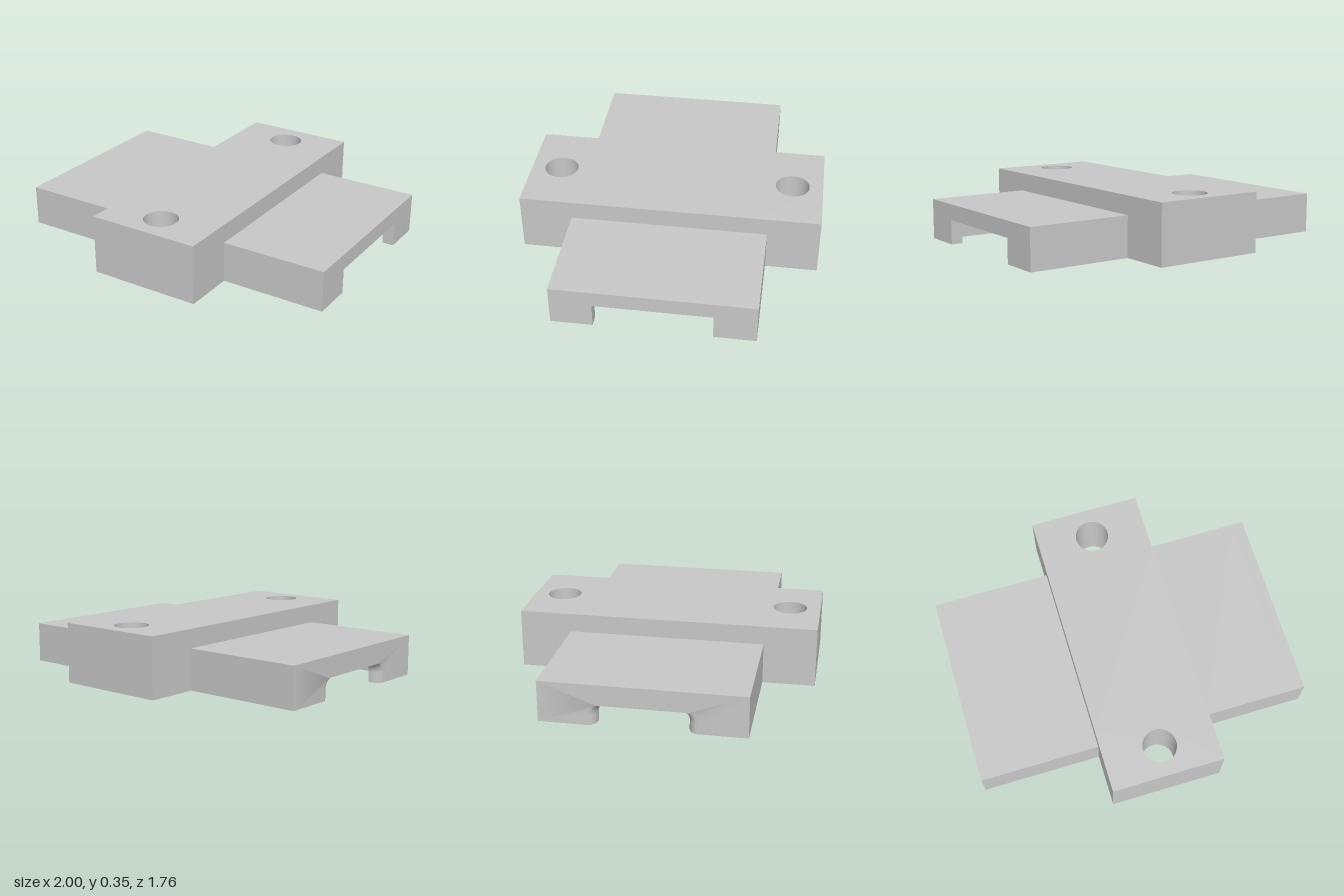
import * as THREE from 'three';
import { toCreasedNormals } from 'three/addons/utils/BufferGeometryUtils.js';

// Main dimensions
const X0 = -0.29, X1 = 0.38;             // raised bridge, left and right limits
const WING_Z = 0.575, WING_TOP = 0.24;   // wing half width and height
const CAV_X = 0.93, CAV_Z = 0.515, CAV_Y = 0.17; // underside recess
const LUG_Z = 0.88, TOP = 0.35;
const HOLE_Z = 0.7, HOLE_R = 0.1;
const FLARE = 0.05;                      // rounding of the right opening's outer edges

// Arch-shaped cross-section in the z-y plane: a block with an opening from below
function archProfile(halfOpening, height, r) {
  const s = new THREE.Shape();
  s.moveTo(-WING_Z, 0);
  s.lineTo(-halfOpening, 0);
  s.lineTo(-halfOpening, height - r);
  if (r) s.absarc(-halfOpening + r, height - r, r, Math.PI, Math.PI / 2, true);
  s.lineTo(halfOpening - r, height);
  if (r) s.absarc(halfOpening - r, height - r, r, Math.PI / 2, 0, true);
  s.lineTo(halfOpening, 0);
  s.lineTo(WING_Z, 0);
  s.lineTo(WING_Z, WING_TOP);
  s.lineTo(-WING_Z, WING_TOP);
  s.closePath();
  return s;
}

function extrude(shape, depth, steps = 1) {
  return new THREE.ExtrudeGeometry(shape, { depth, steps, bevelEnabled: false, curveSegments: 24 });
}

// Extrude a z-y profile along x between two positions
function alongX(shape, xa, xb, steps) {
  return extrude(shape, xb - xa, steps).rotateY(Math.PI / 2).translate(xa, 0, 0);
}

// End wall whose opening widens towards the outside in a rounded sweep
function flaredWall() {
  const g = alongX(archProfile(0.25, 0.12, 0.06), -1, -CAV_X, 8);
  const p = g.attributes.position;
  for (let i = 0; i < p.count; i++) {
    const a = (-CAV_X - p.getX(i)) / (1 - CAV_X) * Math.PI / 2;
    const z = p.getZ(i);
    p.setX(i, -CAV_X - (1 - CAV_X) * Math.sin(a));
    if (Math.abs(z) < 0.26) p.setZ(i, z + Math.sign(z) * FLARE * (1 - Math.cos(a)));
  }
  return g;
}

export function createModel() {
  const model = new THREE.Group();
  model.name = 'mountingCover';
  const grey = new THREE.MeshStandardMaterial({ color: 0xc8c8c8 });
  grey.name = 'lightGrey';

  const add = (name, geometry) => {
    const mesh = new THREE.Mesh(toCreasedNormals(geometry, Math.PI / 6), grey);
    mesh.name = name;
    model.add(mesh);
  };

  // Wings: hollow channel sections on both sides of the bridge
  const channel = archProfile(CAV_Z, CAV_Y, 0);
  add('leftWing', alongX(channel, X1, CAV_X));
  add('rightWing', alongX(channel, -CAV_X, X0));

  // End walls: square opening on the left, rounded opening on the right
  add('leftEndWall', alongX(archProfile(0.335, 0.145, 0), CAV_X, 1));
  add('rightEndWall', flaredWall());

  // Raised bridge over the recess
  const bridge = new THREE.BoxGeometry(X1 - X0, TOP - CAV_Y, CAV_Z * 2);
  bridge.translate((X0 + X1) / 2, (TOP + CAV_Y) / 2, 0);
  add('bridge', bridge);

  // Full-height lugs with through holes, front and back
  for (const side of [1, -1]) {
    const za = side > 0 ? -LUG_Z : CAV_Z, zb = side > 0 ? -CAV_Z : LUG_Z;
    const lug = new THREE.Shape([
      new THREE.Vector2(X0, za), new THREE.Vector2(X1, za),
      new THREE.Vector2(X1, zb), new THREE.Vector2(X0, zb),
    ]);
    const hole = new THREE.Path();
    hole.absarc((X0 + X1) / 2, -side * HOLE_Z, HOLE_R, 0, Math.PI * 2, true);
    lug.holes.push(hole);
    add(side > 0 ? 'frontLug' : 'backLug', extrude(lug, TOP).rotateX(-Math.PI / 2));
  }

  return model;
}
